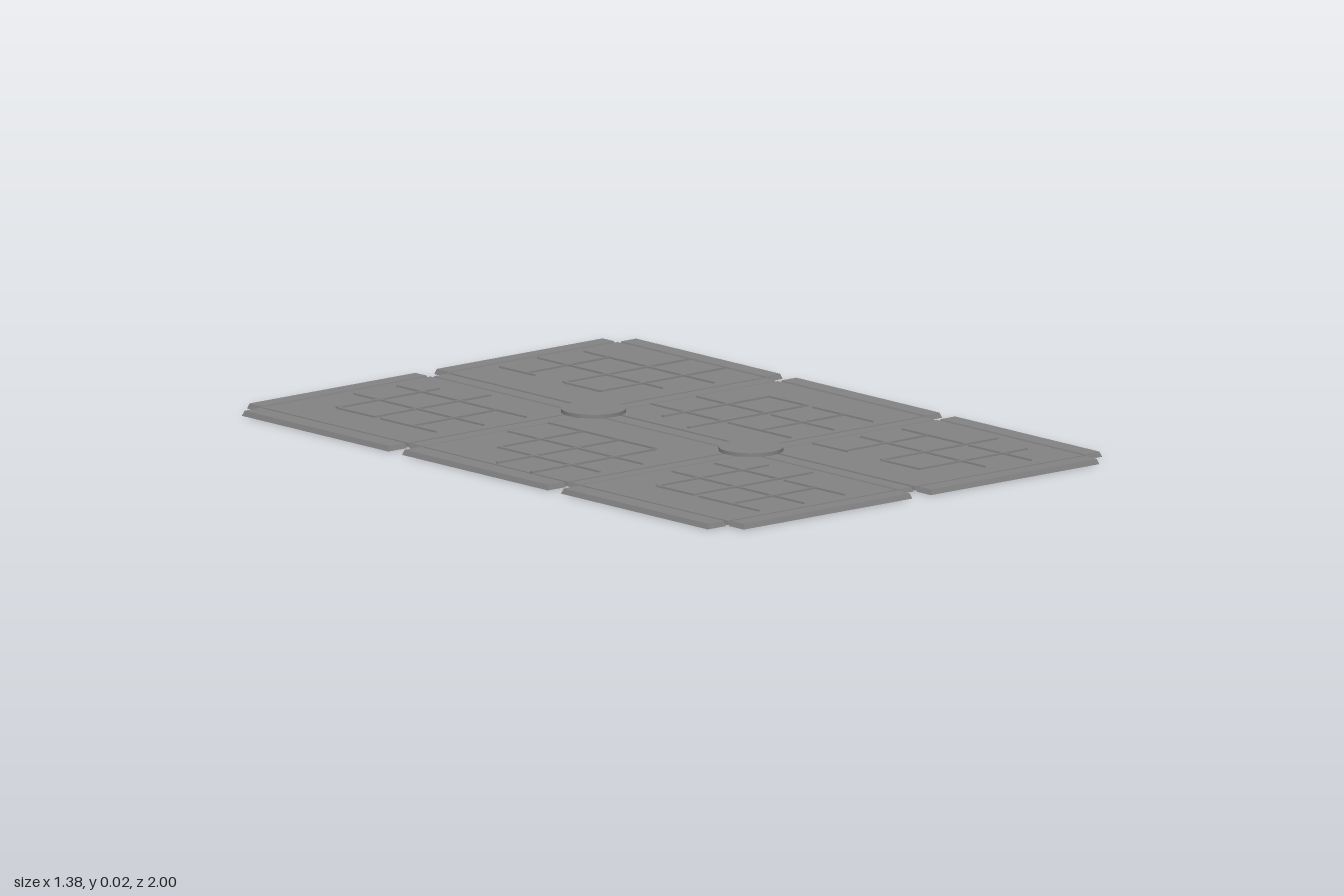
import * as THREE from 'three';

const stone = new THREE.MeshStandardMaterial({ color: 0x828282 });
stone.name = 'grey stone';

// Slab between two corners whose top face is inset on every side by a bevel
function slab(name, x0, x1, z0, z1, y0, y1, bevel = 0) {
  const geo = new THREE.BoxGeometry(x1 - x0, y1 - y0, z1 - z0);
  const p = geo.attributes.position;
  for (let i = 0; i < p.count; i++) {
    if (p.getY(i) > 0) {
      p.setX(i, p.getX(i) - Math.sign(p.getX(i)) * bevel);
      p.setZ(i, p.getZ(i) - Math.sign(p.getZ(i)) * bevel);
    }
  }
  geo.computeVertexNormals();
  const mesh = new THREE.Mesh(geo, stone);
  mesh.name = name;
  mesh.position.set((x0 + x1) / 2, (y0 + y1) / 2, (z0 + z1) / 2);
  return mesh;
}

// Thin raised ridge that narrows towards its far end
function ridge(dir, at, from, to) {
  const length = to - from;
  const geo = new THREE.BoxGeometry(length, 0.017, 0.014);
  const p = geo.attributes.position;
  for (let i = 0; i < p.count; i++) {
    const far = p.getX(i) > 0 ? 0.35 : 1;
    const top = p.getY(i) > 0 ? 0.6 : 1;
    p.setZ(i, p.getZ(i) * far * top);
  }
  geo.computeVertexNormals();
  const mesh = new THREE.Mesh(geo, stone);
  mesh.name = 'ridge';
  const mid = (from + to) / 2;
  if (dir === 'h') mesh.position.set(mid, 0.0095, at);
  else {
    mesh.position.set(at, 0.0095, mid);
    mesh.rotation.y = -Math.PI / 2;
  }
  return mesh;
}

// Ridges of each panel: direction, fixed coordinate, start, end
const ridges = {
  backRight: [['v', -0.48, -0.79, -0.65], ['v', -0.48, -0.62, -0.4], ['v', -0.33, -0.9, -0.38],
    ['v', -0.18, -0.9, -0.65], ['v', -0.18, -0.64, -0.38],
    ['h', -0.8, -0.48, -0.12], ['h', -0.65, -0.48, -0.07], ['h', -0.5, -0.48, -0.18]],
  backLeft: [['v', 0.18, -0.9, -0.76], ['v', 0.18, -0.64, -0.5], ['v', 0.33, -0.92, -0.65],
    ['v', 0.33, -0.64, -0.42], ['v', 0.475, -0.9, -0.65], ['v', 0.475, -0.64, -0.38],
    ['h', -0.8, 0.18, 0.475], ['h', -0.645, 0.18, 0.62], ['h', -0.5, 0.18, 0.62]],
  middleRight: [['v', -0.48, -0.15, 0], ['v', -0.48, 0, 0.26], ['v', -0.33, -0.28, 0],
    ['v', -0.33, 0, 0.26], ['v', -0.18, -0.29, 0.14],
    ['h', -0.15, -0.48, -0.18], ['h', -0.005, -0.61, -0.18], ['h', 0.145, -0.62, -0.18]],
  middleLeft: [['v', 0.18, -0.29, 0], ['v', 0.18, 0.02, 0.27], ['v', 0.33, -0.28, 0],
    ['v', 0.33, 0.02, 0.27], ['v', 0.475, -0.15, 0], ['v', 0.475, 0.02, 0.26],
    ['h', -0.155, 0.1, 0.475], ['h', -0.005, 0.06, 0.475], ['h', 0.145, 0.18, 0.475]],
  frontRight: [['v', -0.48, 0.49, 0.64], ['v', -0.48, 0.66, 0.9], ['v', -0.33, 0.38, 0.91],
    ['v', -0.18, 0.38, 0.64], ['v', -0.18, 0.66, 0.9],
    ['h', 0.49, -0.48, -0.09], ['h', 0.635, -0.48, -0.06], ['h', 0.785, -0.48, -0.18]],
  frontLeft: [['v', 0.18, 0.36, 0.5], ['v', 0.18, 0.64, 0.79], ['v', 0.33, 0.38, 0.88],
    ['v', 0.475, 0.38, 0.63], ['v', 0.475, 0.65, 0.9],
    ['h', 0.485, 0.18, 0.475], ['h', 0.635, 0.18, 0.59], ['h', 0.785, 0.18, 0.56]],
};

export function createModel() {
  const model = new THREE.Group();
  model.name = 'floorTile';

  const rows = [['back', -0.94, -0.35], ['middle', -0.295, 0.292], ['front', 0.345, 0.936]];
  const columns = [['Right', -0.62, -0.03], ['Left', 0.035, 0.625]];

  for (const [row, z0, z1] of rows) {
    // Six square panels with their raised ridges
    for (const [side, x0, x1] of columns) {
      const panel = new THREE.Group();
      panel.name = row + side + 'Panel';
      panel.add(slab('panelSlab', x0, x1, z0, z1, 0.002, 0.013, 0.002));
      for (const r of ridges[row + side]) panel.add(ridge(...r));
      model.add(panel);
    }
    // Bevelled bars along both long sides
    model.add(slab('rightEdgeBar', -0.69, -0.625, z0, z1, 0, 0.014, 0.005));
    model.add(slab('leftEdgeBar', 0.63, 0.69, z0, z1, 0, 0.014, 0.005));
  }

  for (const [side, x0, x1] of columns) {
    // Bevelled bars at the two ends
    model.add(slab('backEndBar' + side, x0, x1, -1, -0.945, 0, 0.014, 0.005));
    model.add(slab('frontEndBar' + side, x0, x1, 0.941, 1, 0, 0.014, 0.005));
    // Cross bars between the rows
    model.add(slab('crossBar' + side, x0, x1, -0.348, -0.297, 0, 0.013, 0.005));
    model.add(slab('crossBar' + side, x0, x1, 0.294, 0.343, 0, 0.013, 0.005));
  }

  // Central spine, in three lengths
  for (const [row, z0, z1] of [['back', -0.94, -0.325], ['middle', -0.32, 0.31], ['front', 0.315, 0.936]]) {
    model.add(slab(row + 'Spine', -0.025, 0.03, z0, z1, 0, 0.013, 0.005));
  }

  // Round studs where the bars cross
  for (const z of [-0.325, 0.31]) {
    const stud = new THREE.Mesh(new THREE.CylinderGeometry(0.086, 0.086, 0.011, 32), stone);
    stud.name = 'roundStud';
    stud.position.set(0.006, 0.0175, z);
    model.add(stud);
  }
  return model;
}
